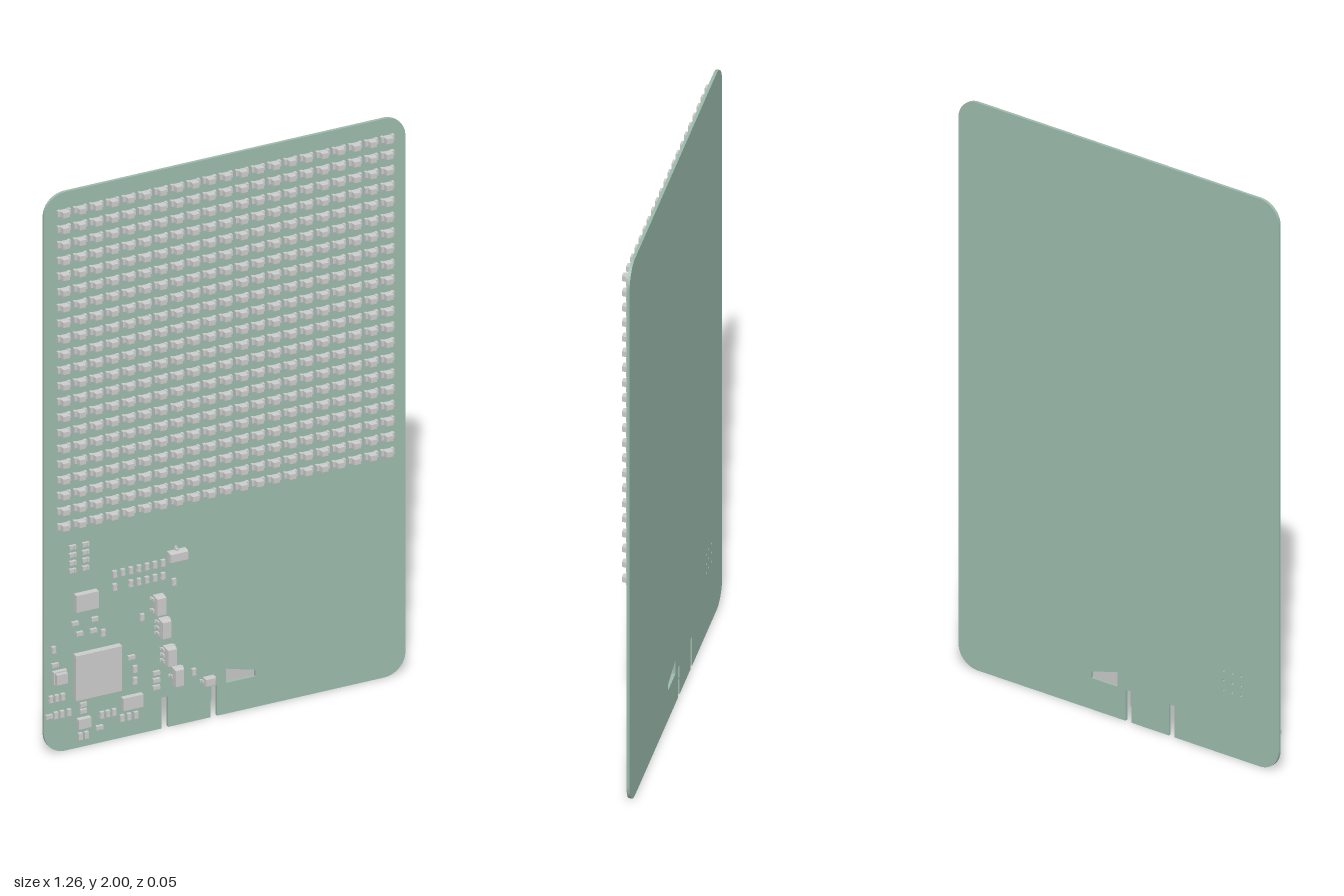
import * as THREE from 'three';
import { mergeGeometries } from 'three/addons/utils/BufferGeometryUtils.js';

const FACE = -0.016; // front surface of the board
const BACK = -0.026;
const grey = new THREE.MeshStandardMaterial({ color: 0xcccccc });
const green = new THREE.MeshStandardMaterial({ color: 0x9cbcac });

// Box between two heights above the board face, optionally narrowing to the front
function block(x, y, w, h, z0, z1, taperX = 1, taperY = taperX) {
  const g = new THREE.BoxGeometry(w, h, z1 - z0);
  const p = g.attributes.position;
  for (let i = 0; i < p.count; i++) {
    if (p.getZ(i) > 0) p.setXY(i, p.getX(i) * taperX, p.getY(i) * taperY);
  }
  g.translate(x, y, FACE + (z0 + z1) / 2);
  g.computeVertexNormals();
  return g;
}

function place(geometry, x, y, turn = 0) {
  return geometry.clone().rotateZ(turn).translate(x, y, 0);
}

function boardGeometry() {
  const W = 0.628, H = 2, r = 0.075;
  const s = new THREE.Shape();
  s.moveTo(-W + r, 0);
  // two edge slots
  [[-0.22, 0], [-0.05, 0.004]].forEach(([x, jog]) => {
    s.lineTo(x, 0);
    s.lineTo(x, 0.055);
    s.lineTo(x + jog, 0.065);
    s.lineTo(x + jog, 0.11);
    s.lineTo(x + 0.023, 0.11);
    s.lineTo(x + 0.023, 0);
  });
  s.lineTo(W - r, 0);
  s.absarc(W - r, r, r, -Math.PI / 2, 0);
  s.absarc(W - r, H - r, r, 0, Math.PI / 2);
  s.absarc(-W + r, H - r, r, Math.PI / 2, Math.PI);
  s.absarc(-W + r, r, r, Math.PI, Math.PI * 1.5);

  // wedge-shaped window
  const wedge = new THREE.Path();
  wedge.moveTo(0.005, 0.11);
  wedge.lineTo(0.005, 0.161);
  wedge.lineTo(0.107, 0.133);
  wedge.lineTo(0.107, 0.11);
  wedge.closePath();
  s.holes.push(wedge);

  // small vias beneath the processor
  for (let i = -1; i <= 1; i++) {
    for (let j = -1; j <= 1; j++) {
      const via = new THREE.Path();
      via.absarc(-0.446 + i * 0.034, 0.26 + j * 0.034, 0.004, 0, Math.PI * 2, true);
      s.holes.push(via);
    }
  }
  const g = new THREE.ExtrudeGeometry(s, {
    depth: FACE - BACK, bevelEnabled: false, curveSegments: 10,
  });
  return g.translate(0, 0, BACK);
}

// Light: flat carrier, two terminals and a tapered lens
function lightGeometry() {
  return mergeGeometries([
    block(0, 0, 0.032, 0.018, 0.002, 0.011),
    block(-0.018, 0, 0.009, 0.02, 0, 0.012),
    block(0.018, 0, 0.009, 0.02, 0, 0.012),
    block(0, 0, 0.028, 0.019, 0.011, 0.028, 0.78, 0.95),
  ]);
}

// Resistor or capacitor, lying along x
function passiveGeometry() {
  return mergeGeometries([
    block(0, 0, 0.012, 0.013, 0, 0.009),
    block(-0.0085, 0, 0.006, 0.014, 0, 0.01),
    block(0.0085, 0, 0.006, 0.014, 0, 0.01),
  ]);
}

// Upright package with bent leads at the given heights on each side
function leadedGeometry(w, h, top, left, right) {
  const parts = [block(0, 0, w, h, 0.004, top * 0.55),
    block(0, 0, w, h, top * 0.55, top, 0.88, 0.93)];
  [[-1, left], [1, right]].forEach(([side, rows]) => rows.forEach((y) => {
    parts.push(block(side * (w / 2 + 0.002), y, 0.006, 0.009, 0.003, top * 0.5));
    parts.push(block(side * (w / 2 + 0.006), y, 0.008, 0.009, 0, 0.004));
  }));
  return mergeGeometries(parts);
}

export function createModel() {
  const model = new THREE.Group();
  const add = (name, geometry, material = grey) => {
    const m = new THREE.Mesh(geometry, material);
    m.name = name;
    model.add(m);
  };

  add('board', boardGeometry(), green);

  // 21 x 21 light matrix, one mesh per row
  const light = lightGeometry();
  for (let r = 0; r < 21; r++) {
    const row = [];
    for (let c = 0; c < 21; c++) row.push(place(light, -0.562 + c * 0.0562, 0.81 + r * 0.0561));
    add('lightRow' + (r + 1), mergeGeometries(row));
  }

  // leadless chips
  add('processor', block(-0.446, 0.26, 0.16, 0.16, 0, 0.021));
  add('sensorChip', block(-0.486, 0.525, 0.078, 0.06, 0, 0.02));
  add('crystal', mergeGeometries([
    block(-0.577, 0.273, 0.046, 0.044, 0, 0.014),
    block(-0.577, 0.273, 0.038, 0.036, 0.014, 0.027),
  ]));
  add('smallChip', block(-0.493, 0.09, 0.044, 0.034, 0, 0.017));
  add('wideChip', block(-0.325, 0.125, 0.07, 0.044, 0, 0.017));

  // leaded packages: x, y, width, height, top, left leads, right leads, turn
  const three = [-0.02, 0, 0.02], two = [-0.02, 0.02], one = [0];
  [
    [-0.171, 0.617, 0.032, 0.064, 0.031, two, one, Math.PI / 2],
    [-0.235, 0.456, 0.034, 0.064, 0.036, two, one, 0],
    [-0.218, 0.37, 0.034, 0.062, 0.039, three, two, 0],
    [-0.2, 0.268, 0.034, 0.062, 0.041, three, three, 0],
    [-0.171, 0.185, 0.032, 0.062, 0.034, one, two, 0],
    [-0.06, 0.14, 0.036, 0.026, 0.026, one, one, 0],
  ].forEach(([x, y, w, h, top, left, right, turn], i) => {
    add('leadedPackage' + (i + 1), place(leadedGeometry(w, h, top, left, right), x, y, turn));
  });

  // passives standing upright: y, then x positions
  const passive = passiveGeometry();
  const strip = [0, 1, 2, 3, 4, 5, 6].map((i) => -0.385 + i * 0.028);
  const upright = [
    [0.595, strip],
    [0.548, strip.filter((x, i) => i !== 1)],
    [0.518, [-0.179]], [0.418, [-0.29]], [0.394, [-0.425]], [0.373, [-0.597]],
    [0.238, [-0.314]], [0.196, [-0.314]], [0.18, [-0.11]],
    [0.198, [-0.607, -0.586, -0.565]],
    [0.137, [-0.589, -0.568, -0.544]],
    [0.101, [-0.43, -0.409, -0.387]],
    [0.073, [-0.359, -0.335, -0.311]],
    [0.042, [-0.504, -0.483]],
  ];
  // passives lying flat: y, then x positions
  const lying = [
    ...[0.725, 0.697, 0.669, 0.641].map((y) => [y, [-0.531, -0.486]]),
    [0.45, [-0.523, -0.454]], [0.41, [-0.507, -0.459]],
    [0.317, [-0.592]], [0.283, [-0.327]],
    ...[0.206, 0.18, 0.155].map((y) => [y, [-0.24]]),
    [0.137, [-0.613]], [0.153, [-0.494]], [0.13, [-0.494]], [0.058, [-0.438]],
  ];
  const spread = (rows, turn) => mergeGeometries(
    rows.flatMap(([y, xs]) => xs.map((x) => place(passive, x, y, turn))));
  add('uprightPassives', spread(upright, Math.PI / 2));
  add('lyingPassives', spread(lying, 0));

  return model;
}
